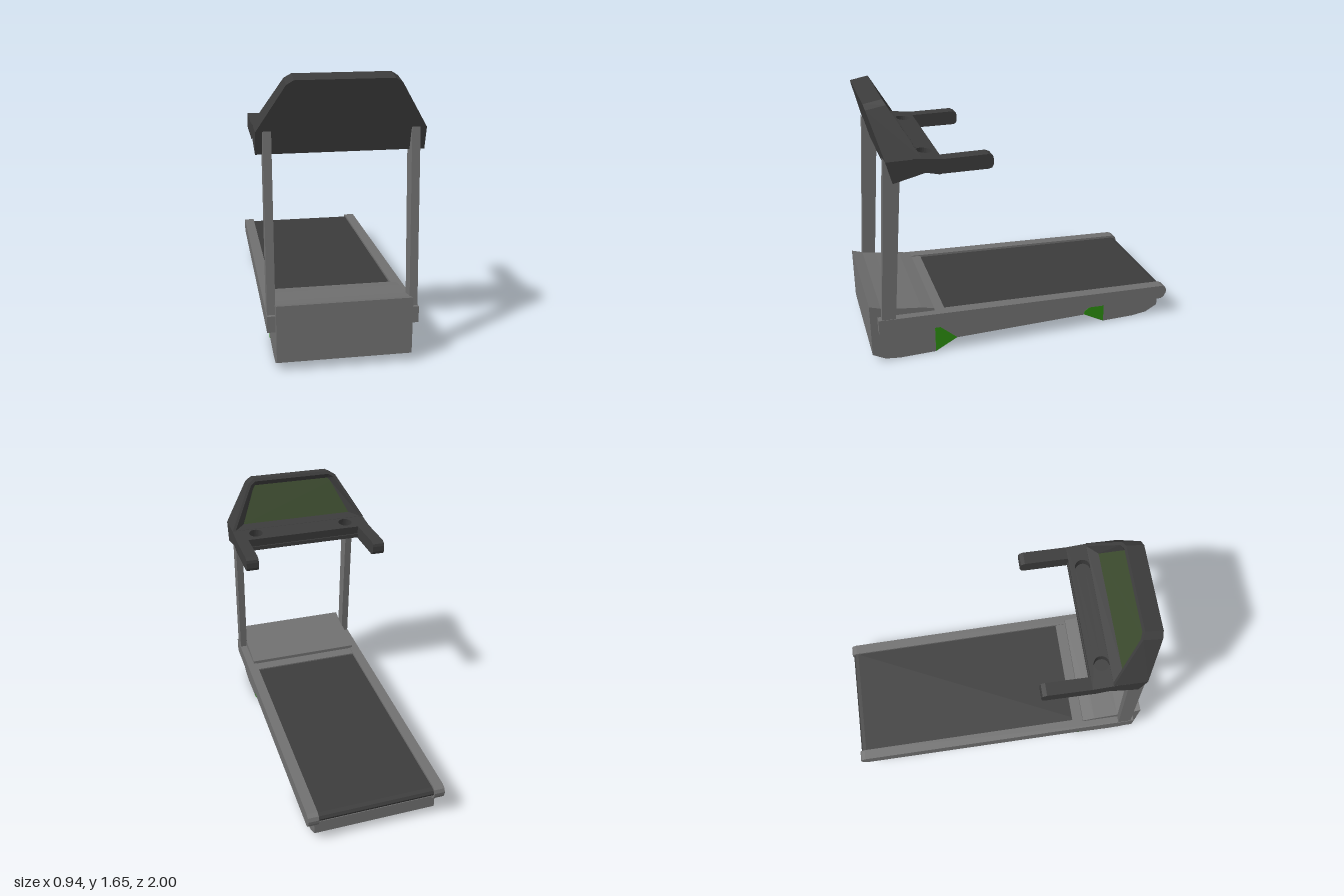
import * as THREE from 'three';

const mat = (color) => new THREE.MeshStandardMaterial({ color, flatShading: true });
const grey = mat(0x707070);
const dark = mat(0x3c3c3c);
const green = mat(0x2a8a10);
const glass = mat(0x3b4a2e);

export function createModel() {
  const group = new THREE.Group();

  const add = (name, geometry, material) => {
    const mesh = new THREE.Mesh(geometry, material);
    mesh.name = name;
    group.add(mesh);
    return mesh;
  };

  // side profile of [z, y] points, extruded across from x0 to x1
  const prism = (name, profile, x0, x1, material) => {
    const shape = new THREE.Shape(profile.map(([z, y]) => new THREE.Vector2(z, y)));
    const geometry = new THREE.ExtrudeGeometry(shape, { depth: x1 - x0, bevelEnabled: false });
    geometry.rotateY(-Math.PI / 2).translate(x1, 0, 0);
    return add(name, geometry, material);
  };
  const pair = (name, profile, x0, x1, material) => {
    prism(name + 'Left', profile, x0, x1, material);
    prism(name + 'Right', profile, -x1, -x0, material);
  };

  // base with motor hood at the front and a raised belly
  prism('base', [
    [1, 0.4], [1, 0.055], [0.92, 0.012], [0.83, 0], [0.6, 0], [0.46, 0.075],
    [-0.42, 0.075], [-0.56, 0], [-0.78, 0], [-0.88, 0.012], [-0.96, 0.055], [-0.96, 0.14],
    [0.53, 0.25], [0.53, 0.292], [0.6, 0.298], [0.6, 0.32], [0.68, 0.338], [0.84, 0.36], [0.93, 0.377],
  ], -0.388, 0.388, grey);

  // running belt, rounded over the rear roller
  prism('belt', [
    [0.58, 0.286], [-0.955, 0.21], [-0.98, 0.202], [-0.99, 0.185], [-0.98, 0.165],
    [-0.955, 0.155], [0.58, 0.24],
  ], -0.368, 0.368, dark);

  // foot rails
  pair('rail', [
    [0.955, 0.32], [0.955, 0.222], [-0.965, 0.13], [-0.985, 0.145], [-0.997, 0.168],
    [-1, 0.19], [-0.99, 0.212], [-0.965, 0.225],
  ], 0.368, 0.435, grey);

  // green flank accents
  pair('frontAccent', [[0.6, 0.205], [0.6, 0.003], [0.46, 0.078]], 0.38, 0.391, green);
  pair('rearAccent', [[-0.42, 0.078], [-0.56, 0.003], [-0.56, 0.155], [-0.5, 0.155], [-0.42, 0.1]],
    0.38, 0.391, green);

  // uprights
  pair('post', [[0.938, 0.24], [0.853, 0.24], [0.775, 1.22], [0.862, 1.35]], 0.385, 0.432, grey);

  // console underside and tray floor
  prism('consoleBase', [
    [0.854, 1.347], [0.82, 1.215], [0.63, 1.26], [0.55, 1.24], [0.53, 1.25],
    [0.53, 1.275], [0.69, 1.295], [0.69, 1.347],
  ], -0.47, 0.47, dark);

  // tray top with two cup holes
  const tray = new THREE.Shape([[-0.47, 0], [0.47, 0], [0.47, 0.17], [-0.47, 0.17]]
    .map(([x, z]) => new THREE.Vector2(x, z)));
  for (const x of [-0.32, 0.32]) {
    tray.holes.push(new THREE.Path().absarc(x, 0.078, 0.046, 0, Math.PI * 2, true));
  }
  const trayGeometry = new THREE.ExtrudeGeometry(tray, { depth: 0.06, bevelEnabled: false, curveSegments: 12 });
  trayGeometry.rotateX(Math.PI / 2 - 0.13).translate(0, 1.33, 0.53);
  add('cupTray', trayGeometry, dark);

  // arms reaching back from the tray
  pair('handle', [
    [0.56, 1.333], [0.54, 1.33], [0.26, 1.33], [0.235, 1.318], [0.23, 1.3], [0.23, 1.265],
    [0.24, 1.245], [0.26, 1.24], [0.56, 1.243],
  ], 0.39, 0.47, dark);

  // console hood: mirrored loops from the front face, around the rim, into the screen
  const loop = (half) => [...half, ...half.map(([x, y, z]) => [-x, y, z]).reverse()];
  const frontZ = (y) => 0.82 + (y - 1.215) * 0.265;
  const rimZ = (y) => 0.65 + (y - 1.35) * 0.567;
  const loops = [
    loop([[0.47, 1.345], [0.31, 1.605], [0.27, 1.63]].map(([x, y]) => [x, y, frontZ(y)])),
    loop([[0.47, 1.352], [0.31, 1.625], [0.27, 1.65]].map(([x, y]) => [x, y, rimZ(y)])),
    loop([[0.45, 1.354], [0.298, 1.61], [0.262, 1.632]].map(([x, y]) => [x, y, rimZ(y)])),
    loop([[0.38, 1.37, 0.715], [0.28, 1.575, 0.823], [0.262, 1.597, 0.835]]),
  ];
  const toGeometry = (points) => {
    const geometry = new THREE.BufferGeometry();
    geometry.setAttribute('position', new THREE.Float32BufferAttribute(points.flat(), 3));
    geometry.computeVertexNormals();
    return geometry;
  };
  const shell = [];
  const screen = [];
  const [front, inner] = [loops[0], loops[3]];
  for (let i = 1; i < 5; i++) {
    shell.push(front[0], front[i], front[i + 1]);
    screen.push(inner[0], inner[i + 1], inner[i]);
  }
  for (let k = 0; k < 3; k++) {
    const [a, b] = [loops[k], loops[k + 1]];
    for (let i = 0; i < 6; i++) {
      const j = (i + 1) % 6;
      shell.push(a[i], b[i], a[j], b[i], b[j], a[j]);
    }
  }
  add('consoleHood', toGeometry(shell), dark);
  add('screen', toGeometry(screen), glass);

  return group;
}
